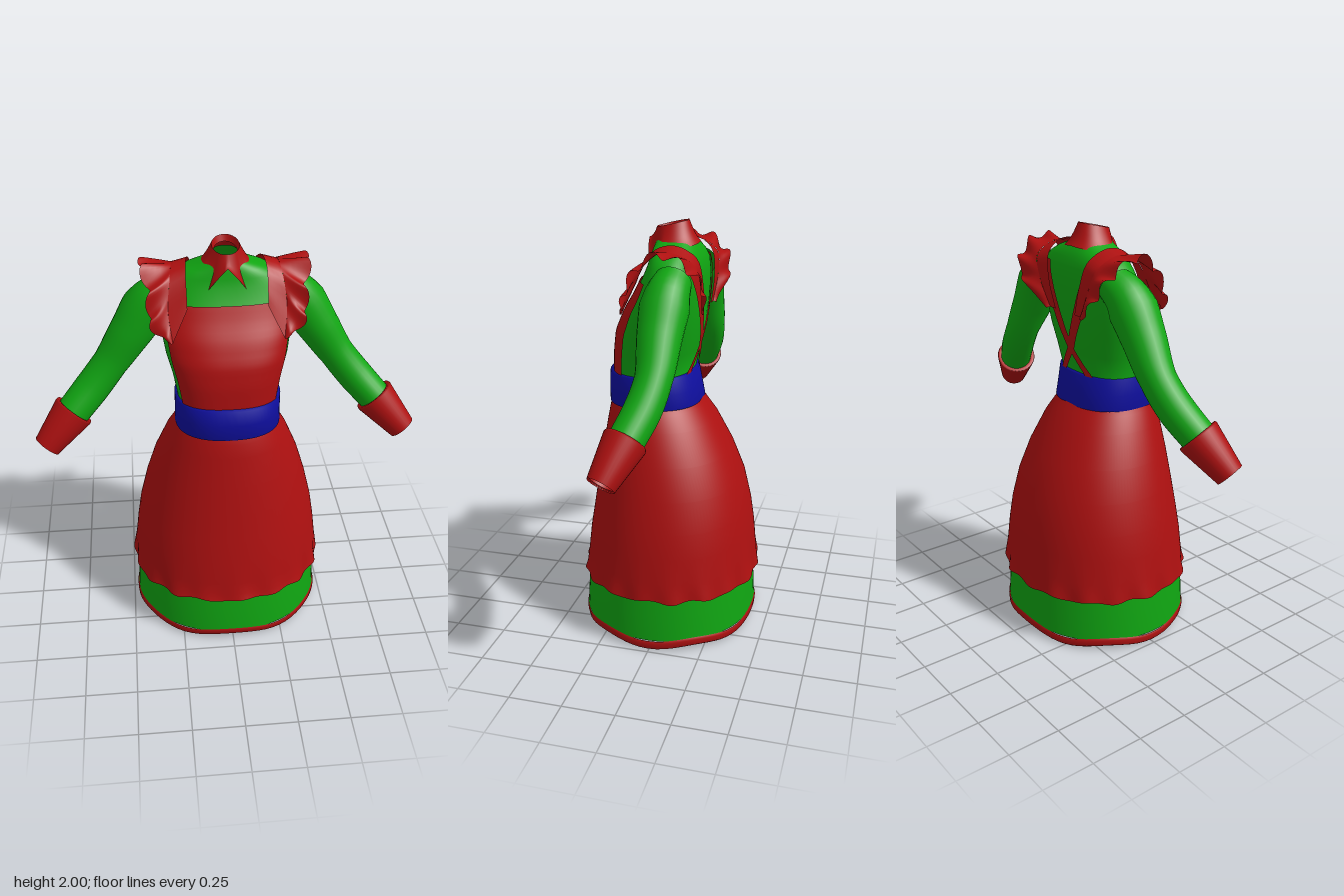
import * as THREE from 'three';

const mat = (name, color) => {
  const m = new THREE.MeshStandardMaterial({ color, side: THREE.DoubleSide });
  m.name = name;
  return m;
};
const V = (x, y, z) => new THREE.Vector3(x, y, z);

// Smooth surface from fn(u, v) -> Vector3; closed wraps around in u
function surface(nu, nv, fn, closed = false) {
  const pos = [], idx = [], cols = closed ? nu : nu + 1;
  for (let j = 0; j <= nv; j++)
    for (let i = 0; i < cols; i++) pos.push(...fn(i / nu, j / nv).toArray());
  for (let j = 0; j < nv; j++)
    for (let i = 0; i < nu; i++) {
      const a = j * cols + i, b = j * cols + (i + 1) % cols;
      idx.push(a, b, a + cols, b, b + cols, a + cols);
    }
  const g = new THREE.BufferGeometry();
  g.setAttribute('position', new THREE.Float32BufferAttribute(pos, 3));
  g.setIndex(idx);
  g.computeVertexNormals();
  return g;
}

// Rings are [y, half width, front z, back z], bottom to top
function ringAt(rings, y) {
  let k = 0;
  while (k < rings.length - 2 && y > rings[k + 1][0]) k++;
  const a = rings[k], b = rings[k + 1];
  const t = THREE.MathUtils.clamp((y - a[0]) / (b[0] - a[0]), 0, 1);
  return a.map((v, i) => v + (b[i] - v) * t);
}

function ovalPoint([y, w, f, b], angle, n) {
  const s = Math.sin(angle), c = Math.cos(angle), e = 2 / n;
  return V(Math.sign(s) * w * Math.abs(s) ** e, y,
    (f + b) / 2 + Math.sign(c) * (f - b) / 2 * Math.abs(c) ** e);
}

// Closed loft through the rings, with an optional rule that moves each point
function loft(rings, n, seg = 72, move = p => p) {
  const rows = rings.length - 1;
  return surface(seg, rows, (u, v) => {
    const a = u * Math.PI * 2;
    return move(ovalPoint(rings[Math.round(v * rows)], a, n), a);
  }, true);
}

const TORSO_N = 2.5;
const TORSO = [
  [1.16, 0.235, 0.275, -0.13], [1.3, 0.235, 0.27, -0.10], [1.4, 0.253, 0.266, -0.12],
  [1.5, 0.28, 0.25, -0.14], [1.6, 0.298, 0.205, -0.15], [1.68, 0.3, 0.155, -0.155],
  [1.75, 0.295, 0.12, -0.155], [1.81, 0.275, 0.095, -0.15], [1.85, 0.235, 0.085, -0.135],
  [1.88, 0.18, 0.08, -0.12], [1.91, 0.1, 0.073, -0.095], [1.95, 0.055, 0.062, -0.066],
];

// Point lying just outside the torso at x, y on the front (1) or back (-1)
function onTorso(x, y, dir, d = 0.008) {
  const [, w, f, b] = ringAt(TORSO, y);
  const r = Math.min(Math.abs(x) / (w + d), 1);
  return V(x, y, (f + b) / 2 + dir * ((f - b) / 2 + d) * (1 - r ** TORSO_N) ** (1 / TORSO_N));
}

// Ribbon between two curves
function ribbon(a, b, nu, nv, wave = () => V(0, 0, 0)) {
  const ca = new THREE.CatmullRomCurve3(a), cb = new THREE.CatmullRomCurve3(b);
  return surface(nu, nv, (u, v) => ca.getPoint(u).lerp(cb.getPoint(u), v).add(wave(u, v)));
}

export function createModel() {
  const model = new THREE.Group();
  const red = mat('red cloth', 0xae1010);
  const green = mat('green cloth', 0x10a612);
  const blue = mat('blue sash', 0x0f0fa0);
  const add = (name, geo, m) => {
    const mesh = new THREE.Mesh(geo, m);
    mesh.name = name;
    model.add(mesh);
  };

  // Bodice and sash
  add('bodice', loft(TORSO, TORSO_N), green);
  add('sash', loft([
    [1.14, 0.238, 0.285, -0.13], [1.145, 0.25, 0.302, -0.145], [1.22, 0.248, 0.302, -0.13],
    [1.295, 0.248, 0.298, -0.115], [1.3, 0.235, 0.27, -0.1],
  ], 2.4), blue);

  // Apron skirt with a frilled hem
  add('apronSkirt', loft([
    [0.265, 0.482, 0.443, -0.434], [0.3, 0.478, 0.432, -0.428], [0.36, 0.471, 0.424, -0.42],
    [0.48, 0.457, 0.41, -0.408], [0.6, 0.438, 0.39, -0.39], [0.75, 0.402, 0.367, -0.355],
    [0.9, 0.357, 0.343, -0.295], [1.05, 0.297, 0.318, -0.215], [1.12, 0.26, 0.305, -0.165],
    [1.17, 0.236, 0.285, -0.13],
  ], 2.1, 144, (p, a) => {
    const k = THREE.MathUtils.clamp((0.37 - p.y) / 0.1, 0, 1);
    const w = Math.sin(a * 18) + 0.5 * Math.sin(a * 11 + 1);
    p.x *= 1 + 0.014 * k * w;
    p.z *= 1 + 0.014 * k * w;
    p.y += 0.006 * k * Math.sin(a * 13);
    return p;
  }), red);

  // Underskirt and its hem trim
  add('underskirt', loft([
    [0.05, 0.474, 0.438, -0.42], [0.18, 0.468, 0.43, -0.413], [0.36, 0.455, 0.41, -0.4],
  ], 2.1), green);
  add('hemTrim', loft([
    [0.012, 0.472, 0.428, -0.415], [0.02, 0.479, 0.436, -0.423],
    [0.045, 0.48, 0.442, -0.425], [0.055, 0.474, 0.438, -0.42],
  ], 2.1, 72, (p, a) => {
    p.y += 0.01 * Math.cos(a * 6);
    return p;
  }), red);

  // Apron bib wrapping the chest
  add('bib', surface(32, 18, (u, v) => {
    const y = 1.28 + 0.465 * v;
    const edge = ringAt(TORSO, y)[1] * 0.92;
    return onTorso(edge * Math.sin((u - 0.5) * Math.PI), y, 1);
  }), red);

  // Pointed collar; its lower edge dips to a point each side of the front gap
  const collarEdge = a => {
    const d = Math.abs(a > Math.PI ? a - 2 * Math.PI : a);
    const keys = [[0, 1.915], [0.7, 1.8], [1.25, 1.875], [2, 1.885], [Math.PI, 1.9]];
    let k = 0;
    while (k < 3 && d > keys[k + 1][0]) k++;
    const [p, q] = [keys[k], keys[k + 1]];
    return p[1] + (q[1] - p[1]) * (d - p[0]) / (q[0] - p[0]);
  };
  add('collar', surface(72, 6, (u, v) => {
    const a = u * Math.PI * 2, c = Math.cos(a);
    const top = ovalPoint([1.983 - 0.017 * c, 0.062, 0.078, -0.072], a, 2);
    const low = ovalPoint([collarEdge(a), 0.132, 0.116, -0.125], a, 2.2);
    const p = top.lerp(low, v);
    p.y -= 0.012 * Math.sin(v * Math.PI);
    return p;
  }, true), red);
  add('collarRim', surface(48, 1, (u, v) => {
    const a = u * Math.PI * 2;
    return ovalPoint([1.983 - 0.017 * Math.cos(a) - 0.03 * v,
      0.062 - 0.01 * v, 0.078 - 0.012 * v, -0.072 + 0.01 * v], a, 2);
  }, true), red);

  for (const s of [1, -1]) {
    const side = s > 0 ? 'left' : 'right';
    const pts = list => list.map(([x, y, z]) => V(s * x, y, z));

    // Shoulder strap and its ruffle
    const inner = pts([[0.18, 1.735, 0.128], [0.18, 1.8, 0.1], [0.18, 1.885, 0.04],
      [0.17, 1.905, -0.05], [0.15, 1.85, -0.145], [0.12, 1.74, -0.168], [0.075, 1.6, -0.163]]);
    const seam = pts([[0.25, 1.6, 0.18], [0.265, 1.73, 0.115], [0.25, 1.855, 0.05],
      [0.24, 1.885, -0.04], [0.23, 1.83, -0.155], [0.19, 1.73, -0.172], [0.12, 1.6, -0.163]]);
    const outer = pts([[0.265, 1.6, 0.175], [0.345, 1.67, 0.15], [0.35, 1.8, 0.1],
      [0.375, 1.895, -0.02], [0.36, 1.84, -0.15], [0.3, 1.73, -0.21], [0.14, 1.59, -0.17]]);
    add(side + 'ShoulderStrap', ribbon(inner, seam, 24, 4), red);
    add(side + 'Ruffle', ribbon(seam, outer, 80, 6, (u, v) => {
      const k = v * Math.sin(Math.PI * u) ** 0.5;
      const w = Math.sin(u * Math.PI * 14);
      return V(s * 0.014 * k * Math.cos(u * Math.PI * 14), 0.02 * k * w,
        0.018 * k * w * Math.cos(u * Math.PI) + 0.01 * Math.sin(v * Math.PI) * Math.cos(u * Math.PI));
    }), red);

    // Strap crossing the back
    add(side + 'BackStrap', surface(4, 24, (u, v) => {
      const y = 1.29 + 0.53 * v;
      const x = y < 1.42 ? (y - 1.42) * 0.8 : (y - 1.42) * 0.47;
      return onTorso(s * x + (u - 0.5) * (0.048 + 0.05 * v * v), y, -1);
    }), red);

    // Sleeve: a tube whose radius varies along the arm
    const arm = new THREE.CatmullRomCurve3(pts([[0.24, 1.76, -0.06], [0.33, 1.705, -0.055],
      [0.43, 1.56, -0.05], [0.53, 1.405, -0.052], [0.62, 1.29, -0.03], [0.745, 1.155, 0.025]]));
    const radii = [0.085, 0.112, 0.098, 0.083, 0.084, 0.08];
    const sleeve = new THREE.TubeGeometry(arm, 30, 1, 24);
    const pos = sleeve.attributes.position, p = new THREE.Vector3();
    for (let i = 0; i < pos.count; i++) {
      const t = Math.floor(i / 25) / 30, c = arm.getPointAt(t);
      const f = Math.min(t * 5, 4.999), k = Math.floor(f);
      p.fromBufferAttribute(pos, i).sub(c)
        .multiplyScalar(radii[k] + (radii[k + 1] - radii[k]) * (f - k)).add(c);
      pos.setXYZ(i, p.x, p.y, p.z);
    }
    add(side + 'Sleeve', sleeve, green);

    // Tapered open cuff with a turned edge at the elbow end
    const from = V(s * 0.725, 1.178, 0.018), to = V(s * 0.867, 1.022, 0.085);
    const axis = to.clone().sub(from);
    const cuff = new THREE.LatheGeometry([[0.078, 0.004], [0.097, 0], [0.1, 0.01],
      [0.066, axis.length()], [0.06, axis.length() - 0.01]]
      .map(([r, h]) => new THREE.Vector2(r, h)), 32);
    cuff.applyQuaternion(new THREE.Quaternion().setFromUnitVectors(V(0, 1, 0), axis.normalize()));
    cuff.translate(from.x, from.y, from.z);
    add(side + 'Cuff', cuff, red);
  }
  return model;
}
